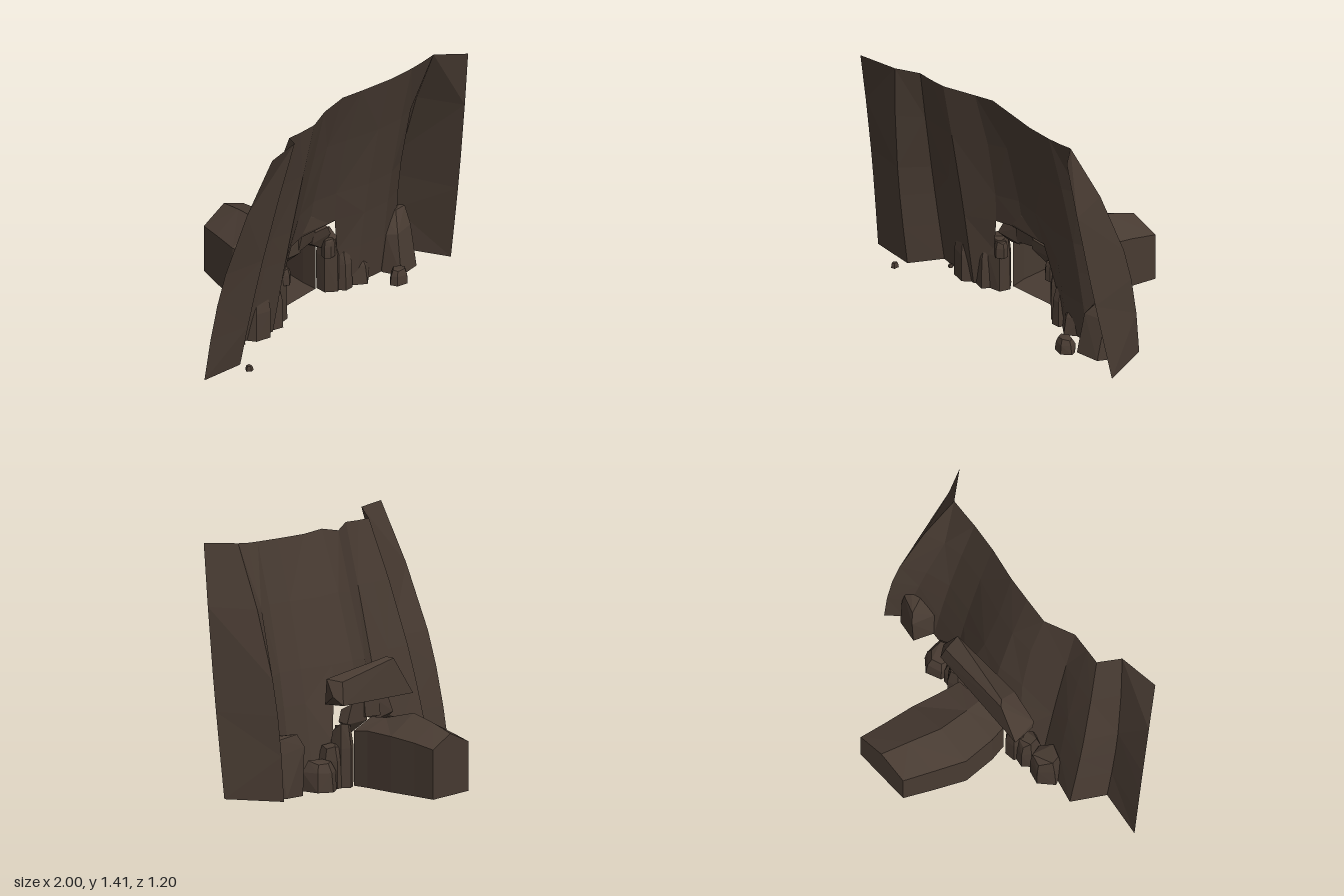
import * as THREE from 'three';
import { ConvexGeometry } from 'three/addons/geometries/ConvexGeometry.js';

const stone = new THREE.MeshStandardMaterial({ color: 0x483b32, flatShading: true, side: THREE.DoubleSide });
stone.name = 'darkStone';

function part(name, geometry) {
  const mesh = new THREE.Mesh(geometry, stone);
  mesh.name = name;
  return mesh;
}

function hull(name, points) {
  return part(name, new ConvexGeometry(points.map((p) => new THREE.Vector3(...p))));
}

// Builds a faceted surface from a grid of points; skip(i, j) leaves a cell open
function gridGeometry(grid, skip = () => false) {
  const pos = [];
  for (let i = 0; i < grid.length - 1; i++) {
    for (let j = 0; j < grid[i].length - 1; j++) {
      if (skip(i, j)) continue;
      const a = grid[i][j], b = grid[i + 1][j], c = grid[i + 1][j + 1], d = grid[i][j + 1];
      const tris = (i + j) % 2 ? [a, c, b, a, d, c] : [a, d, b, b, d, c];
      tris.forEach((p) => pos.push(...p));
    }
  }
  const g = new THREE.BufferGeometry();
  g.setAttribute('position', new THREE.Float32BufferAttribute(pos, 3));
  g.computeVertexNormals();
  return g;
}

// Cliff columns: top x, y, z, then foot x, z, then sideways and depth bulge
const columns = [
  [-0.81, 1.41, 0.54, -1.0, 0.21, -0.04, -0.05],
  [-0.57, 1.41, 0.51, -0.73, 0.25, -0.03, 0],
  [-0.48, 1.37, 0.40, -0.62, 0.07, -0.03, -0.02],
  [-0.39, 1.37, 0.41, -0.46, 0.11, 0, -0.02],
  [-0.28, 1.375, 0.42, -0.31, 0.15, 0, -0.01],
  [-0.10, 1.36, 0.35, -0.25, 0.08, 0.07, -0.03],
  [0.05, 1.39, 0.36, 0.05, 0.06, 0, -0.05],
  [0.20, 1.38, 0.38, 0.37, 0.10, -0.08, -0.05],
  [0.40, 1.38, 0.42, 0.43, 0.16, 0, -0.03],
  [0.57, 1.385, 0.44, 0.62, 0.18, 0, -0.03],
  [0.66, 1.39, 0.445, 0.81, 0.13, 0, -0.05],
  [0.75, 1.40, 0.45, 0.89, 0.05, 0.04, -0.10],
  [0.87, 1.405, 0.60, 1.0, 0.375, 0, 0.01],
];
const rows = [0, 0.25, 0.52, 0.66, 0.82, 1];

function cliff() {
  const grid = columns.map(([tx, ty, tz, bx, bz, bulgeX, bulgeZ]) => rows.map((t) => {
    const s = Math.sin(Math.PI * t);
    return [tx + (bx - tx) * t + bulgeX * s, ty * (1 - t), tz + (bz - tz) * t + bulgeZ * s];
  }));
  // Cave opening under the middle columns
  return gridGeometry(grid, (i, j) => (i === 5 || i === 6) && j >= 3);
}

// Tunnel sections: z, left x, ridge x, right x, shoulder height, ridge height
function tunnel() {
  const sections = [
    [0.02, -0.13, 0.06, 0.235, 0.31, 0.365],
    [-0.08, -0.145, 0.065, 0.25, 0.32, 0.37],
    [-0.27, -0.14, 0.07, 0.30, 0.315, 0.415],
    [-0.45, -0.055, 0.14, 0.335, 0.30, 0.385],
    [-0.60, 0.02, 0.20, 0.37, 0.28, 0.35],
  ];
  const loops = sections.map(([z, l, m, r, s, h]) =>
    [[l, 0, z], [l, s, z], [m, h, z], [r, s, z], [r, 0, z], [l, 0, z]]);
  // Closed far end
  loops.push(loops[0].map(() => [0.2, 0.15, -0.6]));
  return gridGeometry(loops);
}

// Rough tapering rock standing at x, y, z with width, height, depth
function rock(name, x, y, z, w, h, d, taper = 0.65, seed = 1, sides = 6) {
  const pts = [];
  let s = seed * 7919;
  const rnd = () => (s = (s * 16807) % 2147483647) / 2147483647;
  for (let i = 0; i < sides; i++) {
    const a = ((i + 0.3 * rnd() + seed * 0.37) / sides) * Math.PI * 2;
    for (const [level, scale] of [[0, 1], [0.6, (1 + taper) / 2 + 0.08], [1, taper]]) {
      const k = scale * (0.98 + 0.15 * rnd()) * 0.5;
      const lift = level === 1 ? -0.15 * rnd() : 0;
      pts.push([x + Math.cos(a) * w * k, y + h * (level + lift), z + Math.sin(a) * d * k]);
    }
  }
  return hull(name, pts);
}

export function createModel() {
  const group = new THREE.Group();
  group.name = 'cliffCave';
  group.add(part('cliffWall', cliff()), part('tunnel', tunnel()));

  // Fallen slab resting across the cave mouth
  group.add(hull('lintelSlab', [
    [0.37, 0.47, 0.0], [0.35, 0.6, 0.02], [0.40, 0.52, 0.05], [0.36, 0.61, 0.12], [0.33, 0.46, 0.15],
    [-0.13, 0.67, 0.0], [-0.1, 0.68, 0.03], [-0.1, 0.62, 0.13],
    [-0.28, 0.455, -0.03], [-0.28, 0.46, 0.1], [-0.27, 0.5, 0.12],
  ]));

  // Stones framing the cave mouth
  group.add(
    rock('leftJamb', -0.185, 0, 0.065, 0.13, 0.36, 0.14, 0.75, 2),
    rock('leftOuterJamb', -0.26, 0, 0.085, 0.13, 0.3, 0.15, 0.7, 3),
    rock('rightJamb', 0.29, 0, 0.065, 0.12, 0.37, 0.14, 0.75, 4),
    rock('rightOuterJamb', 0.35, 0, 0.1, 0.12, 0.26, 0.15, 0.65, 5),
    hull('archStone', [
      [-0.17, 0.36, 0.03], [-0.16, 0.37, 0.11], [-0.13, 0.46, 0.04], [-0.12, 0.45, 0.1],
      [-0.01, 0.45, 0.03], [-0.02, 0.44, 0.1], [0, 0.34, 0.03], [0, 0.35, 0.1], [-0.1, 0.31, 0.06],
    ]),
    hull('archStone', [
      [-0.03, 0.36, 0.02], [-0.02, 0.36, 0.1], [-0.02, 0.48, 0.03], [-0.01, 0.47, 0.12],
      [0.12, 0.48, 0.03], [0.11, 0.47, 0.12], [0.12, 0.37, 0.02], [0.12, 0.38, 0.1],
    ]),
    hull('archStone', [
      [0.09, 0.35, 0.03], [0.1, 0.36, 0.1], [0.1, 0.46, 0.03], [0.11, 0.43, 0.11],
      [0.24, 0.46, 0.03], [0.23, 0.42, 0.11], [0.29, 0.35, 0.03], [0.27, 0.36, 0.1], [0.22, 0.28, 0.07],
    ]),
    rock('wedgeStone', -0.145, 0.22, 0.1, 0.08, 0.1, 0.07, 0.75, 9),
    rock('wedgeStone', 0.25, 0.23, 0.1, 0.08, 0.11, 0.07, 0.75, 10),
  );

  // Boulders along the foot of the cliff
  group.add(
    rock('leftBoulder', -0.395, 0, 0.095, 0.18, 0.28, 0.18, 0.75, 11),
    rock('rightBoulder', 0.465, 0, 0.1, 0.19, 0.18, 0.2, 0.65, 12),
    hull('tallBoulder', [
      [0.62, 0, 0.19], [0.65, 0, 0.3], [0.8, 0, 0.29], [0.87, 0, 0.17], [0.8, 0, 0.09], [0.67, 0, 0.07],
      [0.64, 0.23, 0.2], [0.67, 0.24, 0.26], [0.81, 0.24, 0.24], [0.82, 0.24, 0.12], [0.67, 0.28, 0.06],
      [0.7, 0.35, 0.09], [0.74, 0.34, 0.19], [0.82, 0.34, 0.19], [0.81, 0.33, 0.13],
    ]),
    rock('smallBoulder', 0.59, 0, 0.33, 0.12, 0.09, 0.1, 0.65, 14),
  );

  // Loose pebbles
  [[-0.75, 0.33, 0.045], [-0.53, 0.11, 0.03], [0.9, 0.15, 0.035]].forEach(([x, z, size], i) =>
    group.add(rock('pebble', x, 0, z, size, size * 0.7, size, 0.6, 20 + i, 5)));

  return group;
}
